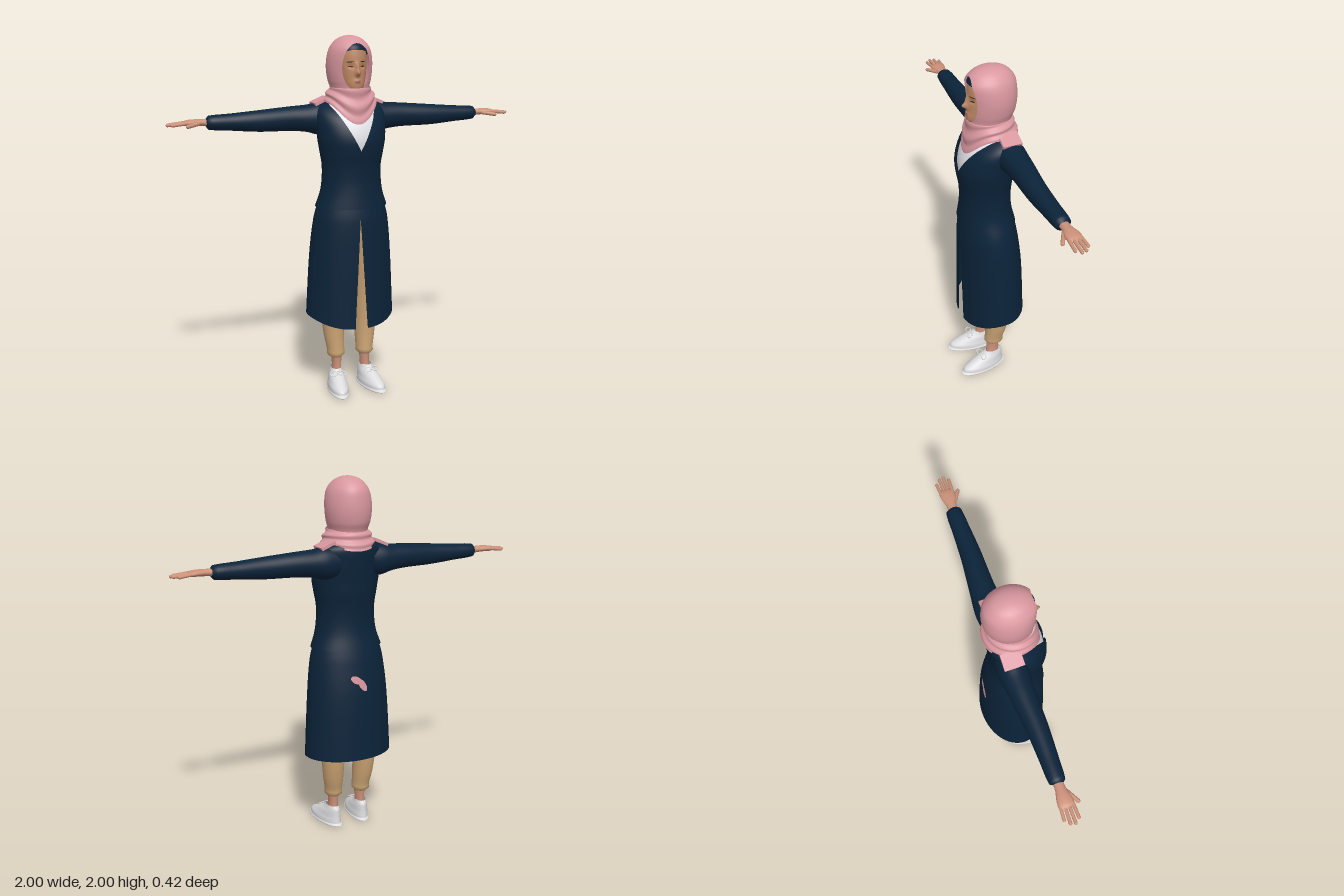
import * as THREE from 'three';
import { mergeVertices } from 'three/addons/utils/BufferGeometryUtils.js';

const mat = (name, color, side = THREE.FrontSide) => {
  const m = new THREE.MeshStandardMaterial({ color, side });
  m.name = name;
  return m;
};
const TAU = Math.PI * 2;
const { lerp, clamp } = THREE.MathUtils;
const bump = (x, y, sx, sy) => Math.exp(-((x / sx) ** 2) - (y / sy) ** 2);

// Smooth interpolation of a section table; the first column is the position
function sample(rows, p) {
  let i = 0;
  while (i < rows.length - 2 && p > rows[i + 1][0]) i++;
  const at = (k) => rows[clamp(k, 0, rows.length - 1)];
  const [a, b] = [rows[i], rows[i + 1]];
  const h = b[0] - a[0], t = clamp((p - a[0]) / h, 0, 1);
  const slope = (k, c) => (at(k + 1)[c] - at(k - 1)[c]) / (at(k + 1)[0] - at(k - 1)[0]);
  return a.map((v, c) => {
    const t2 = t * t, t3 = t2 * t;
    return v * (2 * t3 - 3 * t2 + 1) + b[c] * (3 * t2 - 2 * t3)
      + h * (slope(i, c) * (t3 - 2 * t2 + t) + slope(i + 1, c) * (t3 - t2));
  });
}

// Grid surface from fn(u, v) -> [x, y, z]
function surface(name, material, fn, nu = 48, nv = 40) {
  const pos = [], index = [];
  for (let j = 0; j <= nv; j++) for (let i = 0; i <= nu; i++) pos.push(...fn(i / nu, j / nv));
  for (let j = 0; j < nv; j++) for (let i = 0; i < nu; i++) {
    const a = j * (nu + 1) + i, d = a + nu + 1;
    index.push(a, a + 1, d, a + 1, d + 1, d);
  }
  let g = new THREE.BufferGeometry();
  g.setAttribute('position', new THREE.Float32BufferAttribute(pos, 3));
  g.setIndex(index);
  g = mergeVertices(g, 1e-5);
  g.computeVertexNormals();
  const mesh = new THREE.Mesh(g, material);
  mesh.name = name;
  return mesh;
}

// Point on an oval section row [y, halfWidth, zFront, zBack, centreX]
function oval(rows, y, th) {
  const [, r, f, b, cx = 0] = sample(rows, y);
  return [cx + r * Math.sin(th), y, (f + b) / 2 + ((f - b) / 2) * Math.cos(th)];
}
const loftY = (name, m, rows, nu, nv) => surface(name, m, (u, v) =>
  oval(rows, lerp(rows[0][0], rows[rows.length - 1][0], v), u * TAU), nu, nv);
// Sideways loft, rows [x, halfHeight, zFront, zBack, centreY]
const loftX = (name, m, rows, nu, nv) => surface(name, m, (u, v) => {
  const [y, x, z] = oval(rows, lerp(rows[0][0], rows[rows.length - 1][0], v), -u * TAU);
  return [x, y, z];
}, nu, nv);
// Oval with a gap at the front, from x = left to x = right
function gapped(rows, y, u, left, right) {
  const r = Math.max(sample(rows, y)[1], 1e-4);
  const a = Math.asin(clamp(right / r, -1, 1)), b = TAU + Math.asin(clamp(left / r, -1, 1));
  return oval(rows, y, lerp(a, b, u));
}

export function createModel() {
  const model = new THREE.Group();
  model.name = 'woman';
  const D = THREE.DoubleSide;
  const navy = mat('navy coat', 0x0b2339, D), pink = mat('pink scarf', 0xd9979f, D);
  const tan = mat('tan trousers', 0xc9a273, D), white = mat('white shoe', 0xdcdcde, D);
  const shirtMat = mat('white shirt', 0xe6e6ec), faceSkin = mat('face skin', 0xbd8763);
  const skin = mat('skin', 0xcb9078), dark = mat('dark brown', 0x3a261e), lip = mat('lips', 0xa0605a);

  // Upper coat with the V neckline
  const torso = [
    [1.07, .205, .158, -.15], [1.15, .178, .15, -.132], [1.22, .168, .146, -.125], [1.3, .167, .15, -.128],
    [1.38, .18, .163, -.138], [1.44, .19, .167, -.142], [1.5, .195, .155, -.148], [1.56, .2, .125, -.153],
    [1.6, .195, .085, -.155], [1.63, .17, .04, -.152], [1.65, .13, 0, -.135], [1.67, .06, -.02, -.09]];
  model.add(surface('coatBodice', navy, (u, v) => {
    const y = lerp(1.07, 1.67, v), w = Math.max(0, y - 1.39) * .53;
    return gapped(torso, y, u, -w, w);
  }, 64, 70));
  model.add(loftY('shirt', shirtMat, [
    [1.3, .13, .135, -.1], [1.38, .15, .148, -.11], [1.44, .165, .153, -.12], [1.5, .17, .141, -.12],
    [1.56, .17, .112, -.12], [1.6, .155, .072, -.12], [1.66, .05, 0, -.08]]));

  // Coat skirt, split at the front with a dipping hem
  const skirt = [
    [.38, .258, .168, -.206], [.45, .255, .166, -.204], [.8, .235, .162, -.187],
    [1, .213, .157, -.16], [1.1, .187, .143, -.138]];
  model.add(surface('coatSkirt', navy, (u, v) => {
    const hem = .45 - .06 * Math.max(0, Math.cos(u * TAU)) ** 2;
    const y = lerp(hem, 1.1, v), gap = Math.max(0, 1.02 - y);
    return gapped(skirt, y, u, -.05 * gap, .066 * gap);
  }, 72, 50));

  // Thin oval laid on a surface z = zAt(x, y)
  const decal = (name, m, cx, cy, rx, ry, zAt, tilt = 0) => surface(name, m, (u, v) => {
    const a = u * TAU, p = rx * (1 - v) * Math.cos(a), q = ry * (1 - v) * Math.sin(a);
    const x = cx + p * Math.cos(tilt) - q * Math.sin(tilt), y = cy + p * Math.sin(tilt) + q * Math.cos(tilt);
    return [x, y, zAt(x, y)];
  }, 20, 5);
  const skirtBack = (x, y) => oval(skirt, y, Math.PI - Math.asin(x / sample(skirt, y)[1]))[2] - .004;
  model.add(decal('backPatchUpper', pink, .025, .91, .034, .02, skirtBack, .5));
  model.add(decal('backPatchLower', pink, -.01, .88, .042, .019, skirtBack, 1.0));

  // Head with a modelled face
  const head = [
    [1.7, .03, .088, -.05], [1.715, .05, .107, -.05], [1.735, .06, .112, -.06], [1.77, .072, .108, -.08],
    [1.81, .08, .106, -.1], [1.85, .084, .104, -.11], [1.9, .084, .1, -.11], [1.94, .075, .088, -.1],
    [1.97, .045, .055, -.08]];
  const facePoint = (y, th) => {
    const p = oval(head, y, th), x = p[0];
    if (Math.cos(th) > 0) {
      p[2] += .027 * bump(x, y - 1.802, .012, .016) + .012 * bump(x, y - 1.832, .009, .024)
        + .005 * bump(x, y - 1.757, .02, .012) - .007 * bump(Math.abs(x) - .033, y - 1.838, .016, .013);
    }
    return p;
  };
  const faceZ = (x, y) => facePoint(y, Math.asin(x / sample(head, y)[1]))[2] + .0015;
  model.add(surface('face', faceSkin, (u, v) => facePoint(lerp(1.7, 1.97, v), u * TAU), 120, 64));
  model.add(decal('upperLip', lip, 0, 1.76, .02, .004, faceZ), decal('lowerLip', lip, 0, 1.753, .016, .005, faceZ));
  for (const s of [-1, 1]) {
    model.add(decal('eye', dark, s * .034, 1.836, .014, .0035, faceZ, s * .08));
    model.add(decal('eyebrow', dark, s * .036, 1.861, .018, .0028, faceZ, -s * .1));
  }
  // Dark cap showing under the scarf
  model.add(surface('underCap', navy, (u, v) => {
    const th = lerp(-1.5, 1.5, u);
    const p = oval(head, lerp(1.885 + .037 * Math.cos(th), 1.97, v), th);
    return [p[0] * 1.04, p[1] + .002, p[2] + .007];
  }, 40, 14));

  // Head scarf with an oval face opening
  const hood = [
    [1.69, .105, .1, -.13], [1.72, .106, .101, -.136], [1.76, .117, .106, -.152], [1.82, .125, .11, -.16],
    [1.88, .122, .115, -.158], [1.93, .108, .112, -.148], [1.965, .083, .085, -.122],
    [1.985, .057, .052, -.092], [1.996, .028, .014, -.052], [2, 0, -.02, -.02]];
  model.add(surface('headScarf', pink, (u, v) => {
    const y = lerp(1.69, 2, v), k = (y - 1.833) / .125;
    const w = .078 * Math.sqrt(Math.max(0, 1 - k * k));
    return gapped(hood, y, u, -w, w);
  }, 56, 90));
  // Scarf folds around the neck, hanging to a point in front
  model.add(surface('neckScarf', pink, (u, v) => {
    const th = u * TAU, c = Math.cos(th), s = 1 - v;
    const hem = 1.645 - (c > 0 ? .115 * c ** 3 : .03 * c * c);
    const fold = .005 * Math.sin(v * 13 + 2 * c) * Math.min(1, v * 4);
    const r = .108 + .042 * s ** .7 + fold, f = .106 + .026 * s + fold, b = -.132 - .035 * s - fold;
    return [r * Math.sin(th), lerp(hem, 1.722, v), (f + b) / 2 + ((f - b) / 2) * c];
  }, 64, 30));

  // Rounded limb between two points
  const limb = (name, m, a, b, r) => {
    const p = new THREE.Vector3(...a), q = new THREE.Vector3(...b), d = q.clone().sub(p);
    const mesh = new THREE.Mesh(new THREE.CapsuleGeometry(r, d.length() - r, 5, 10), m);
    mesh.position.copy(p).lerp(q, .5);
    mesh.quaternion.setFromUnitVectors(new THREE.Vector3(0, 1, 0), d.normalize());
    mesh.name = name;
    return mesh;
  };

  for (const s of [1, -1]) {
    const side = new THREE.Group();
    side.name = s > 0 ? 'leftSide' : 'rightSide';
    side.scale.x = s;
    model.add(side);

    // Sleeve and shoulder flap of the scarf
    side.add(loftX('sleeve', navy, [
      [.1, .085, .01, -.14, 1.55], [.17, .088, .012, -.145, 1.55], [.23, .075, .008, -.14, 1.553],
      [.32, .067, .002, -.13, 1.555], [.5, .058, 0, -.112, 1.55], [.65, .046, -.008, -.105, 1.55],
      [.785, .035, -.018, -.098, 1.551], [.79, .02, -.03, -.08, 1.551]], 32, 50));
    const flap = new THREE.Mesh(new THREE.BoxGeometry(.085, .016, .105), pink);
    flap.name = 'scarfShoulderFlap';
    flap.position.set(.158, 1.647, -.063);
    flap.rotation.z = -.4;
    side.add(flap);

    // Hand
    side.add(loftX('palm', skin, [
      [.77, .02, -.033, -.083, 1.552], [.82, .018, -.03, -.085, 1.554], [.86, .017, -.02, -.095, 1.555],
      [.9, .014, -.018, -.098, 1.553], [.92, .003, -.035, -.085, 1.552]], 20, 20));
    [[-.026, .975], [-.047, .996], [-.068, .99], [-.088, .965]].forEach(([z, end]) =>
      side.add(limb('finger', skin, [.89, 1.555, z], [end, 1.546, z * 1.15 + .008], .0088)));
    side.add(limb('thumb', skin, [.83, 1.55, -.035], [.9, 1.54, .006], .0105));

    // Trouser leg and ankle
    side.add(loftY('trouserLeg', tan, [
      [.185, .038, .035, -.052, .088], [.197, .05, .046, -.066, .088], [.22, .049, .044, -.066, .088],
      [.3, .057, .04, -.085, .094], [.4, .0635, .04, -.1, .098], [.6, .075, .055, -.11, .1],
      [.8, .09, .08, -.12, .099], [.95, .096, .1, -.125, .096], [1.05, .085, .09, -.11, .085]], 32, 60));
    side.add(loftY('ankle', skin, [
      [.06, .03, .045, -.045, .09], [.13, .026, .034, -.04, .086], [.22, .03, .035, -.045, .086]], 20, 10));

    // Shoe with a lace bow, turned slightly outwards
    const shoe = new THREE.Group();
    shoe.name = 'shoe';
    shoe.position.x = .092;
    shoe.rotation.y = .14;
    shoe.add(loftY('shoeUpper', white, [
      [0, 0, .07, .06], [.001, .05, .196, -.066], [.02, .055, .2, -.07], [.038, .054, .193, -.068],
      [.055, .049, .165, -.066], [.08, .043, .112, -.064], [.1, .036, .07, -.062], [.12, .03, .045, -.05]], 36, 60));
    for (const k of [-1, 1]) {
      const loop = new THREE.Mesh(new THREE.TorusGeometry(.015, .003, 6, 14), white);
      loop.name = 'laceLoop';
      loop.scale.x = 1.5;
      loop.position.set(k * .024, .104, .075);
      loop.rotation.set(-1, 0, -k * .25);
      shoe.add(loop);
    }
    side.add(shoe);
  }
  return model;
}
